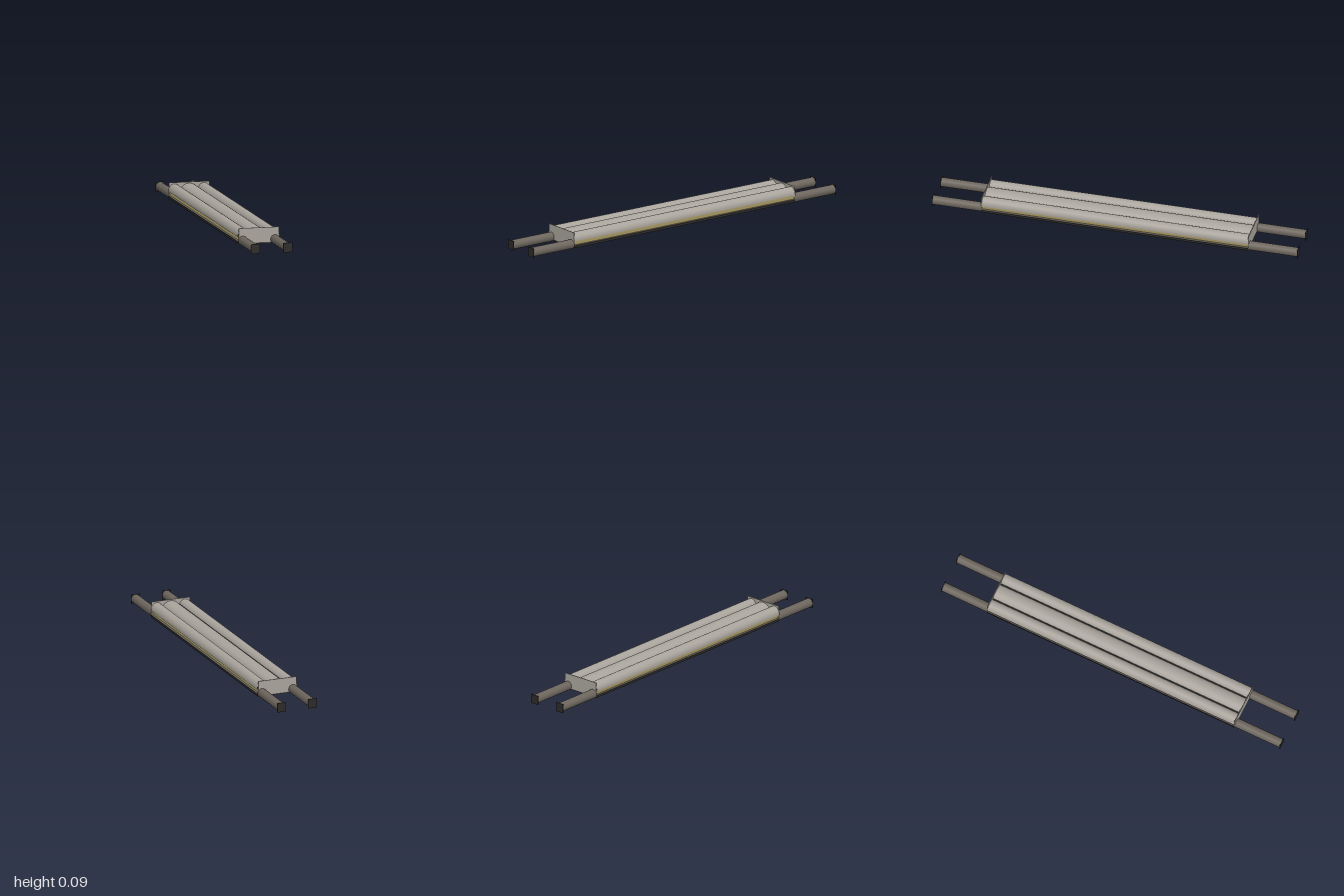
import * as THREE from 'three';

const material = (name, color, side = THREE.FrontSide) => {
  const m = new THREE.MeshStandardMaterial({ color, side });
  m.name = name;
  return m;
};

export function createModel() {
  const model = new THREE.Group();
  model.name = 'rollerBed';

  const shell = material('warm grey shell', 0xa8a39b, THREE.DoubleSide);
  const brown = material('brown grey metal', 0x6c655d, THREE.DoubleSide);
  const black = material('black trim', 0x2b2a29, THREE.DoubleSide);
  const yellow = material('dull yellow trim', 0xdac880, THREE.DoubleSide);

  const halfBody = 0.73;
  const length = halfBody * 2;

  function add(name, geometry, mat, x = 0, y = 0, z = 0) {
    const mesh = new THREE.Mesh(geometry, mat);
    mesh.name = name;
    mesh.position.set(x, y, z);
    model.add(mesh);
    return mesh;
  }

  // Flat base slab and the inner core that closes the body
  add('baseSlab', new THREE.BoxGeometry(0.222, 0.013, length), brown, 0, 0.0135, 0);
  add('core', new THREE.BoxGeometry(0.18, 0.03, length - 0.01), black, 0, 0.035, 0);

  // Three long rounded covers
  const cover = (name, x, rx, ry) => {
    const g = new THREE.CylinderGeometry(1, 1, length, 16, 1, true, Math.PI / 2, Math.PI);
    g.rotateX(Math.PI / 2);
    g.scale(rx, ry, 1);
    add(name, g, shell, x, 0.05, 0);
  };
  cover('middleCover', 0, 0.046, 0.035);
  cover('leftCover', 0.081, 0.033, 0.035);
  cover('rightCover', -0.081, 0.033, 0.035);

  for (const s of [-1, 1]) {
    const sideName = s > 0 ? 'left' : 'right';

    // Dark seam between covers
    add(sideName + 'Seam', new THREE.BoxGeometry(0.01, 0.012, length - 0.01), black,
      s * 0.047, 0.056, 0);

    // Grey lip under the outer cover, and black edge of the base
    add(sideName + 'Lip', new THREE.BoxGeometry(0.004, 0.006, length), shell,
      s * 0.112, 0.047, 0);
    add(sideName + 'BaseEdge', new THREE.BoxGeometry(0.002, 0.013, length), black,
      s * 0.112, 0.0135, 0);

    // Undercut trim strip along each side
    const top = [s * 0.113, 0.044], low = [s * 0.099, 0.02];
    const dx = top[0] - low[0], dy = top[1] - low[1];
    const trim = new THREE.PlaneGeometry(Math.hypot(dx, dy), length);
    trim.rotateX(-Math.PI / 2);
    trim.rotateZ(Math.atan2(dy, dx));
    add(sideName + 'Trim', trim, yellow,
      (top[0] + low[0]) / 2, (top[1] + low[1]) / 2, 0);

    // Thin end plate across the covers
    add(s > 0 ? 'frontPlate' : 'backPlate',
      new THREE.BoxGeometry(0.22, 0.079, 0.004), shell, 0, 0.0525, s * halfBody);

    // Projecting poles with square end plates
    for (const e of [-1, 1]) {
      const stub = new THREE.CylinderGeometry(0.025, 0.025, 1 - halfBody, 16, 1, true);
      stub.rotateX(Math.PI / 2);
      add('pole', stub, brown, s * 0.0885, 0.0255, e * (1 + halfBody) / 2);
      add('poleEndPlate', new THREE.BoxGeometry(0.05, 0.051, 0.003), black,
        s * 0.0885, 0.0255, e * 0.9985);
    }
  }
  return model;
}
